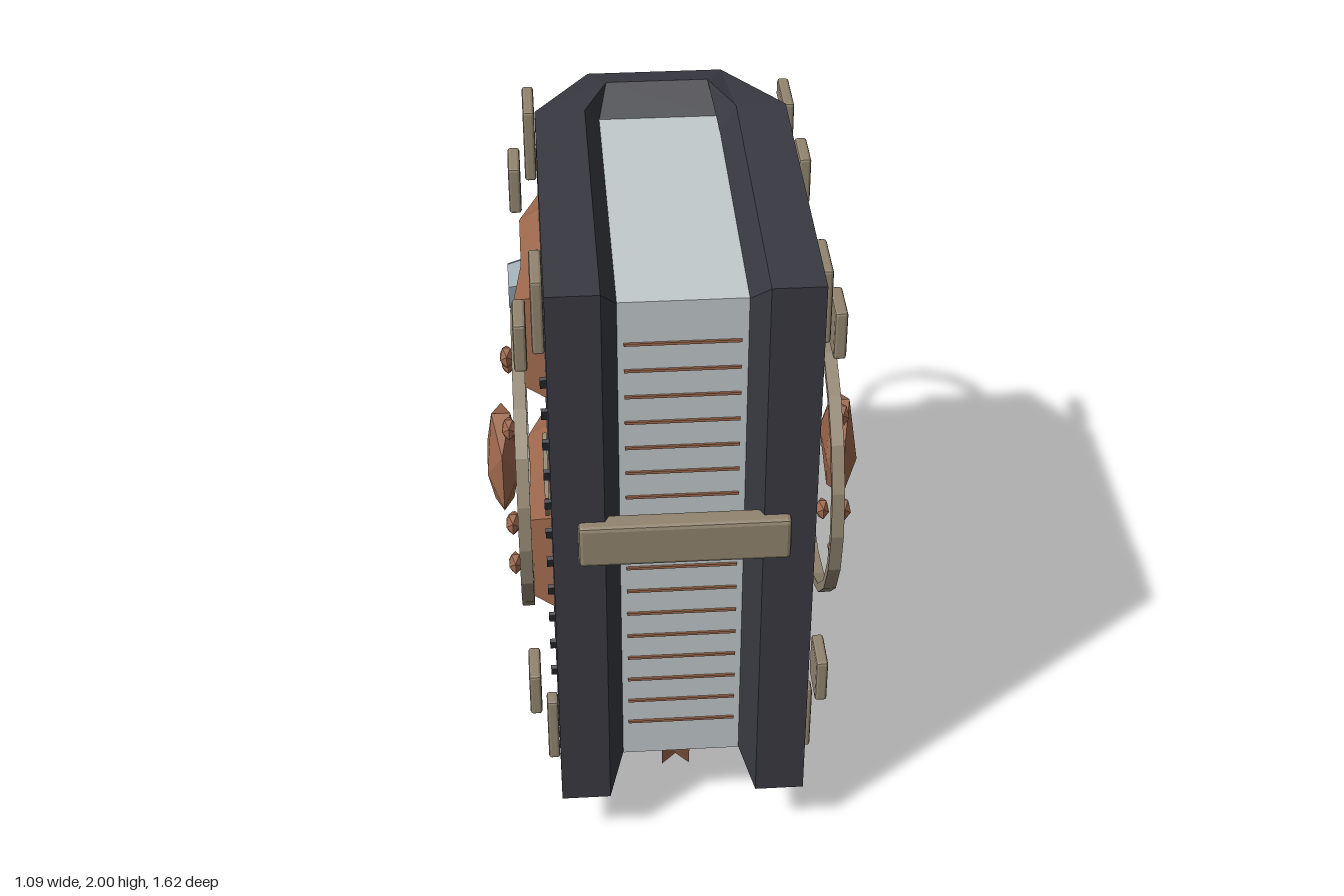
import * as THREE from 'three';
import { RoundedBoxGeometry } from 'three/addons/geometries/RoundedBoxGeometry.js';

const mat = (name, color, side = THREE.FrontSide) => {
  const m = new THREE.MeshStandardMaterial({ color, flatShading: true, side });
  m.name = name;
  return m;
};

function add(parent, name, geometry, material, x = 0, y = 0, z = 0) {
  const mesh = new THREE.Mesh(geometry, material);
  mesh.name = name;
  mesh.position.set(x, y, z);
  parent.add(mesh);
  return mesh;
}

// Flat quads between rows of points; rows run downwards, columns to the right
function grid(out, rows) {
  for (let i = 0; i + 1 < rows.length; i++) {
    for (let j = 0; j + 1 < rows[i].length; j++) {
      const a = rows[i][j], b = rows[i + 1][j], c = rows[i + 1][j + 1], d = rows[i][j + 1];
      out.push(...a, ...b, ...c, ...a, ...c, ...d);
    }
  }
}

// U-shaped wrap: each line lists [x, z, half height] from the front to the spine
// on the left; it is mirrored across x and across the middle height
function wrap(lines) {
  const full = lines.map(l => [...l, ...l.slice().reverse().map(([x, z, h]) => [-x, z, h])]);
  const top = full.map(l => l.map(([x, z, h]) => [x, h, z]));
  const bottom = full.map(l => l.map(([x, z, h]) => [x, -h, z]));
  const out = [];
  grid(out, [...top, ...bottom.slice().reverse()]);
  grid(out, [top.map(l => l[0]), bottom.map(l => l[0])]);
  grid(out, [top, bottom].map(s => s.map(l => l[l.length - 1]).reverse()));
  const g = new THREE.BufferGeometry();
  g.setAttribute('position', new THREE.Float32BufferAttribute(out, 3));
  g.computeVertexNormals();
  return g;
}

// Ring of rectangular section around the y axis
function ring(r, w, h, segments, start = 0, length = Math.PI * 2) {
  const pts = [[r - w, -h], [r + w, -h], [r + w, h], [r - w, h], [r - w, -h]];
  return new THREE.LatheGeometry(pts.map(p => new THREE.Vector2(...p)), segments, start, length);
}

const block = (w, h, d, r = 0.008) => new RoundedBoxGeometry(w, h, d, 1, r);

export function createModel() {
  const leather = mat('dark leather', 0x393a42);
  const strap = mat('brown leather', 0x9c674c);
  const ribbonMat = mat('brown ribbon', 0x9a6449, THREE.DoubleSide);
  const brass = mat('dull brass', 0x928570);
  const paper = mat('paper', 0xc2cacd);
  const steel = mat('blue steel', 0x7f939b);

  const model = new THREE.Group();
  model.name = 'book';
  const midY = 1.095;

  // Cover with a bevelled opening around the pages
  add(model, 'cover', wrap([
    [[0.175, 0.68, 0.815], [0.175, -0.2, 0.815], [0.175, -0.3, 0.815]],
    [[0.22, 0.775, 0.905], [0.22, -0.2, 0.905], [0.15, -0.365, 0.905]],
    [[0.365, 0.775, 0.905], [0.365, -0.2, 0.905], [0.2, -0.48, 0.875]],
  ]), leather, 0, midY, 0);

  // Pages and the lines on their front edge
  add(model, 'pages', new THREE.BoxGeometry(0.35, 1.635, 0.98), paper, 0, midY, 0.19);
  for (let i = 0; i < 17; i++) {
    add(model, 'pageLine', new THREE.BoxGeometry(0.315, 0.008, 0.009), strap, 0, 0.408 + i * 0.0858, 0.682);
  }

  // Front clasp
  add(model, 'clasp', block(0.59, 0.135, 0.065, 0.012), brass, 0, 1.19, 0.775);

  // Ribbon with a notched end
  const rib = [];
  const row = (y, z, notch = 0) => [[-0.043, y, z], [0, y + notch, z], [0.043, y, z]];
  grid(rib, [row(0.3, 0.55), row(0.18, 0.518), row(0.1, 0.485), row(0.0, 0.46, 0.045)]);
  const ribbonGeo = new THREE.BufferGeometry();
  ribbonGeo.setAttribute('position', new THREE.Float32BufferAttribute(rib, 3));
  ribbonGeo.computeVertexNormals();
  add(model, 'ribbon', ribbonGeo, ribbonMat);

  // Straps around the spine, each with a crossbar and a carrying loop
  const strapGeo = wrap([
    [[0.365, 0.27, 0.175], [0.365, 0.05, 0.175], [0.365, -0.2, 0.175], [0.28, -0.345, 0.175], [0.2, -0.48, 0.175]],
    [[0.447, 0.235, 0.143], [0.423, 0.05, 0.143], [0.423, -0.2, 0.143], [0.31, -0.475, 0.143], [0.24, -0.567, 0.143]],
  ]);
  for (const s of [1, -1]) {
    add(model, 'strap', strapGeo, strap, 0, midY + s * 0.4, 0);
    const y = s > 0 ? 1.635 : 0.555;
    add(model, 'crossbar', block(0.76, 0.066, 0.046, 0.01), strap, 0, y, -0.562);
    add(model, 'carryLoop', ring(0.247, 0.012, 0.016, 8, 1.25, Math.PI * 2 - 2.5 - 0.64 + 0.64 - 0.14), brass, 0, y, -0.555);
  }

  // Ornaments of one side, used again mirrored
  for (const side of [1, -1]) {
    const g = new THREE.Group();
    g.name = side > 0 ? 'leftOrnaments' : 'rightOrnaments';
    g.scale.x = side;
    model.add(g);

    // Corner brackets and studs
    for (const s of [1, -1]) {
      for (const z of [0.643, -0.268]) {
        add(g, 'bracketUpright', block(0.034, 0.23, 0.054), brass, 0.383, midY + s * 0.75, z - 0.027);
        add(g, 'bracketFoot', block(0.034, 0.057, 0.168), brass, 0.383, midY + s * 0.836, z - 0.084);
        add(g, 'squareStud', block(0.036, 0.15, 0.137), brass, 0.432, midY + s * 0.633, z > 0 ? 0.542 : -0.28);
      }
      // Hexagonal bolt
      const bolt = add(g, 'bolt', new THREE.CylinderGeometry(0.074, 0.096, 0.065, 6), steel, 0.43, midY + s * 0.4, -0.065);
      bolt.rotation.set(0, 0, -Math.PI / 2);
      bolt.geometry.rotateY(Math.PI / 2);
    }

    // Large ring with rivets
    add(g, 'ring', ring(0.433, 0.013, 0.018, 20), brass, 0.441, midY, 0.245).rotation.z = Math.PI / 2;
    for (let i = 0; i < 7; i++) {
      const a = i * Math.PI * 2 / 7;
      add(g, 'rivet', new THREE.IcosahedronGeometry(0.036), strap,
        0.475, midY + 0.317 * Math.sin(a), 0.245 + 0.317 * Math.cos(a)).scale.x = 0.62;
    }

    // Gem and the diamond plate beside it
    add(g, 'gem', new THREE.IcosahedronGeometry(1), strap, 0.5, midY, 0.245).scale.set(0.053, 0.185, 0.16);
    const plate = add(g, 'diamondPlate', new THREE.CylinderGeometry(1, 1, 0.012, 4), brass, 0.375, midY, 0.345);
    plate.rotation.z = Math.PI / 2;
    plate.scale.set(0.155, 1, 0.11);

    // Stitches along the front edge
    for (let i = 0; i < 11; i++) {
      add(g, 'stitch', new THREE.BoxGeometry(0.018, 0.045, 0.012), leather,
        0.374, midY + (i - 5) * 0.105, 0.615).rotation.x = 0.45;
    }
  }
  return model;
}
